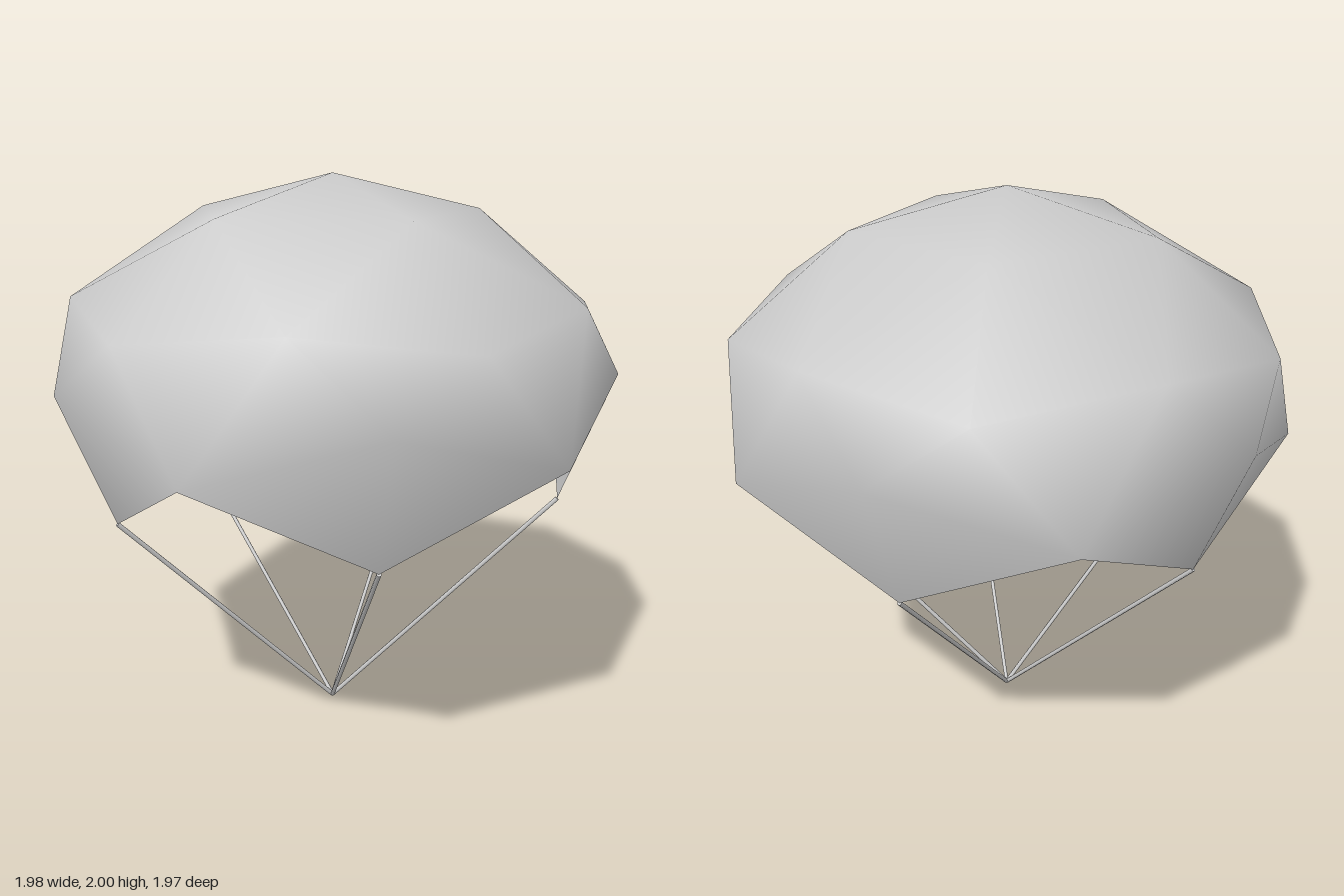
import * as THREE from 'three';

const START = THREE.MathUtils.degToRad(-9.8);
const STEP = Math.PI / 5; // ten gores around the canopy

// Point on a ring, measured in tenths of a turn
const ringPoint = (tenths, r, y) => {
  const a = START + tenths * STEP;
  return new THREE.Vector3(r * Math.cos(a), y, r * Math.sin(a));
};

const hemPoint = (i) => ringPoint(2 * i + 0.5, 0.82, 0.865);

function canopyGeometry() {
  const points = [new THREE.Vector3(0, 2, 0)];
  for (let i = 0; i < 5; i++) points.push(ringPoint(2 * i, 0.526, 1.875));
  for (let j = 0; j < 10; j++) points.push(j % 2 ? ringPoint(j, 0.9, 1.6) : ringPoint(j, 0.942, 1.535));
  for (let j = 0; j < 10; j++) points.push(ringPoint(j + 0.5, 1, j % 2 ? 1.155 : 1.33));
  for (let i = 0; i < 5; i++) points.push(hemPoint(i));

  // Index of a point in each ring, wrapping around
  const crown = (i) => 1 + ((i + 5) % 5);
  const shoulder = (j) => 6 + ((j + 10) % 10);
  const waist = (j) => 16 + ((j + 10) % 10);
  const hem = (i) => 26 + i;

  const index = [];
  for (let i = 0; i < 5; i++) {
    const j = 2 * i;
    index.push(0, crown(i + 1), crown(i));
    index.push(shoulder(j + 1), crown(i), crown(i + 1));
    index.push(crown(i), shoulder(j + 1), shoulder(j));
    index.push(crown(i), shoulder(j), shoulder(j - 1));
    // pointed flap that carries a line
    index.push(hem(i), waist(j - 1), waist(j));
    index.push(hem(i), waist(j), waist(j + 1));
  }
  for (let j = 0; j < 10; j++) {
    index.push(shoulder(j), waist(j), waist(j - 1));
    index.push(waist(j), shoulder(j), shoulder(j + 1));
  }

  const geometry = new THREE.BufferGeometry().setFromPoints(points);
  geometry.setIndex(index);
  geometry.computeVertexNormals();
  return geometry;
}

export function createModel() {
  const model = new THREE.Group();
  model.name = 'parachute';

  const canopy = new THREE.Mesh(
    canopyGeometry(),
    new THREE.MeshStandardMaterial({ color: 0xcccccc, side: THREE.DoubleSide })
  );
  canopy.name = 'canopy';
  model.add(canopy);

  // Suspension lines from the knot up to each flap tip
  const lineMaterial = new THREE.MeshStandardMaterial({ color: 0xcccccc });
  const up = new THREE.Vector3(0, 1, 0);
  const knot = new THREE.Vector3(0, 0.006, 0);
  for (let i = 0; i < 5; i++) {
    const span = hemPoint(i).sub(knot);
    const line = new THREE.Mesh(new THREE.CylinderGeometry(0.008, 0.008, span.length(), 6), lineMaterial);
    line.name = `suspensionLine${i + 1}`;
    line.position.copy(knot).addScaledVector(span, 0.5);
    line.quaternion.setFromUnitVectors(up, span.clone().normalize());
    model.add(line);
  }
  return model;
}
